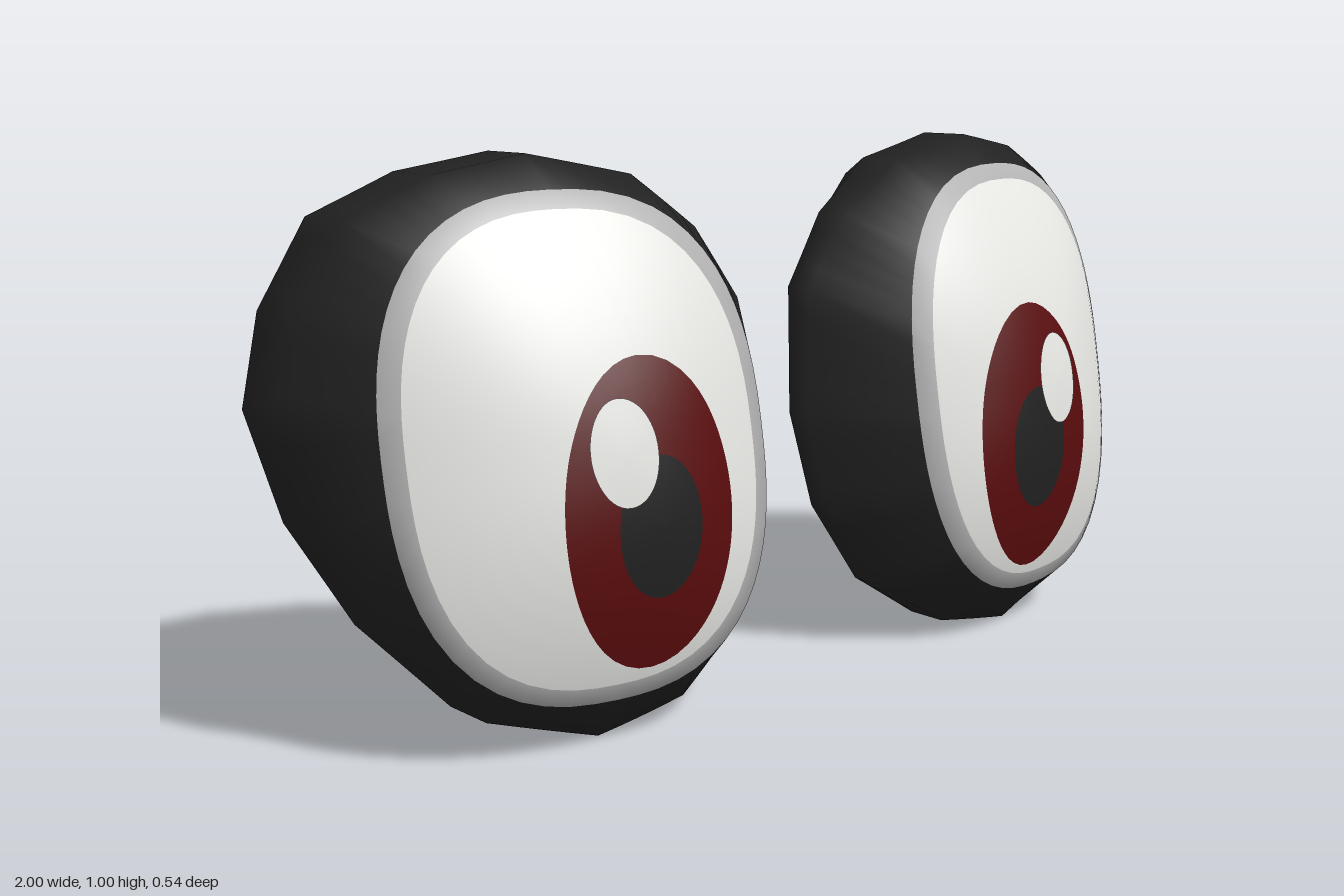
import * as THREE from 'three';

const black = new THREE.MeshStandardMaterial({ color: 0x212121 });
const grey = new THREE.MeshStandardMaterial({ color: 0xb2b2b2 });
const white = new THREE.MeshStandardMaterial({ color: 0xe8e8e5 });
const red = new THREE.MeshStandardMaterial({ color: 0x5a0c0d });
black.name = 'black'; grey.name = 'grey'; white.name = 'white'; red.name = 'darkRed';
const palette = [black, grey, white, red];
const BLACK = 0, GREY = 1, WHITE = 2, RED = 3;

// Faceted outline of one eye, clockwise from the top
const corners = [
  [0.55, 1], [0.72, 0.97], [0.87, 0.9], [0.96, 0.75], [1, 0.59], [0.96, 0.4], [0.87, 0.22], [0.73, 0.06],
  [0.53, 0], [0.34, 0.03], [0.185, 0.13], [0.09, 0.29], [0.06, 0.476], [0.09, 0.717], [0.19, 0.855], [0.335, 0.957],
];
const STEPS = 4;
const outline = corners.flatMap(([x, y], i) => {
  const [nx, ny] = corners[(i + 1) % corners.length];
  return Array.from({ length: STEPS }, (_, k) => [x + (nx - x) * k / STEPS, y + (ny - y) * k / STEPS]);
});
const angles = outline.map(([x, y]) => Math.atan2(y - 0.52, x - 0.54));

// Loops in the xy plane
const oval = (cx, cy, rx, ry, n = 2) => angles.map((a) => {
  const c = Math.cos(a), s = Math.sin(a);
  const r = (Math.abs(c / rx) ** n + Math.abs(s / ry) ** n) ** (-1 / n);
  return [cx + r * c, cy + r * s];
});
const mix = (a, b, t) => a.map(([x, y], i) => [x + (b[i][0] - x) * t, y + (b[i][1] - y) * t]);
const gauge = (x, y, cx, cy, rx, ry, n) =>
  Math.min(1, (Math.abs((x - cx) / rx) ** n + Math.abs((y - cy) / ry) ** n) ** (1 / n));

// Depths: tilted, slightly bowed wall edges, a dome in front and a blunt cone behind
const plane = (z, b, c, bow = 0) => (x, y) => z + b * (x - 0.53) + c * (y - 0.5) - bow * (x - 0.53) ** 2;
const frontPlane = plane(0.135, -0.17, -0.17);
const backPlane = plane(-0.11, -0.22, -0.23);
const frontZ = (x, y) => frontPlane(x, y) + 0.115 * (1 - gauge(x, y, 0.55, 0.515, 0.35, 0.428, 2.5) ** 2);
const backZ = (x, y) => Math.max(-0.266, backPlane(x, y) - 0.16 * (1 - gauge(x, y, 0.48, 0.53, 0.44, 0.465, 2.2)));
const wallFront = plane(0.055, -0.1, -0.15, 0.36);
const wallBack = plane(-0.05, -0.17, -0.16, 0.25);

// Joins rings { pts, z, colour }; each colour fills the band that follows its ring
function loft(rings, side) {
  const n = outline.length, pos = [], index = [];
  const geo = new THREE.BufferGeometry();
  for (const { pts, z } of rings) for (const [x, y] of pts) pos.push(side * x, y, z(x, y));
  for (let r = 0; r + 1 < rings.length; r++) {
    geo.addGroup(index.length, n * 6, rings[r].colour);
    for (let j = 0; j < n; j++) {
      const k = (j + 1) % n;
      const a = r * n + j, b = r * n + k, c = a + n, d = b + n;
      if (side > 0) index.push(a, b, d, a, d, c);
      else index.push(a, d, b, a, c, d);
    }
  }
  geo.setAttribute('position', new THREE.Float32BufferAttribute(pos, 3));
  geo.setIndex(index);
  geo.computeVertexNormals();
  return geo;
}

// Painted face: pupil, iris, white and grey border; the back one sits lower and further in
const frontFace = faceRings([
  oval(0.485, 0.39, 0.083, 0.122),
  oval(0.492, 0.408, 0.168, 0.268),
  oval(0.555, 0.515, 0.315, 0.397, 2.5),
  oval(0.55, 0.515, 0.35, 0.428, 2.5),
], oval(0.485, 0.39, 1e-5, 1e-5));
const backFace = faceRings([
  oval(0.387, 0.34, 0.083, 0.122),
  oval(0.393, 0.36, 0.168, 0.256),
  oval(0.503, 0.475, 0.332, 0.398, 2.2),
  oval(0.498, 0.475, 0.36, 0.424, 2.2),
], oval(0.387, 0.34, 1e-5, 1e-5));

// Rings from the pupil's middle out to the border, with extra cuts for curvature
function faceRings(ovals, middle) {
  const loops = [middle, ...ovals];
  const colours = [BLACK, RED, WHITE, GREY];
  const cuts = [3, 4, 7, 1];
  const rings = colours.flatMap((colour, i) => Array.from({ length: cuts[i] }, (_, k) => (
    { pts: mix(loops[i], loops[i + 1], k / cuts[i]), colour })));
  return [...rings, { pts: loops[4], colour: BLACK }];
}

function makeEye(side) {
  const eye = new THREE.Group();
  eye.name = side > 0 ? 'leftEye' : 'rightEye';
  const front = frontFace.map((r) => ({ ...r, z: frontZ }));
  // On the way back in, each band takes the colour of its inner ring
  const back = backFace.map((r, i) => (
    { pts: r.pts, z: backZ, colour: i ? backFace[i - 1].colour : BLACK })).reverse();
  const rim = mix(outline, oval(0.53, 0.5, 0.001, 0.001), 0.08);
  const body = new THREE.Mesh(loft([
    ...front,
    { pts: outline, z: wallFront, colour: BLACK },
    { pts: outline, z: wallBack, colour: BLACK },
    { pts: rim, z: (x, y) => Math.max(-0.266, backPlane(x, y)), colour: BLACK },
    ...back,
  ], side), palette);
  body.name = 'eyeball';
  eye.add(body);

  // Thin glints laid over the iris, front and back
  const glint = (cx, cy, z) => [1e-5, 0.02, 0.04, 0.062].map((r) => (
    { pts: oval(cx, cy, r, r * 1.45), z, colour: WHITE }));
  const glints = {
    frontGlint: glint(0.55, 0.522, (x, y) => frontZ(x, y) + 0.005),
    backGlint: glint(0.447, 0.457, (x, y) => backZ(x, y) - 0.006).reverse(),
  };
  for (const [name, rings] of Object.entries(glints)) {
    const mesh = new THREE.Mesh(loft(rings, side), palette);
    mesh.name = name;
    eye.add(mesh);
  }
  return eye;
}

export function createModel() {
  const model = new THREE.Group();
  model.name = 'eyes';
  model.add(makeEye(1), makeEye(-1));
  return model;
}
